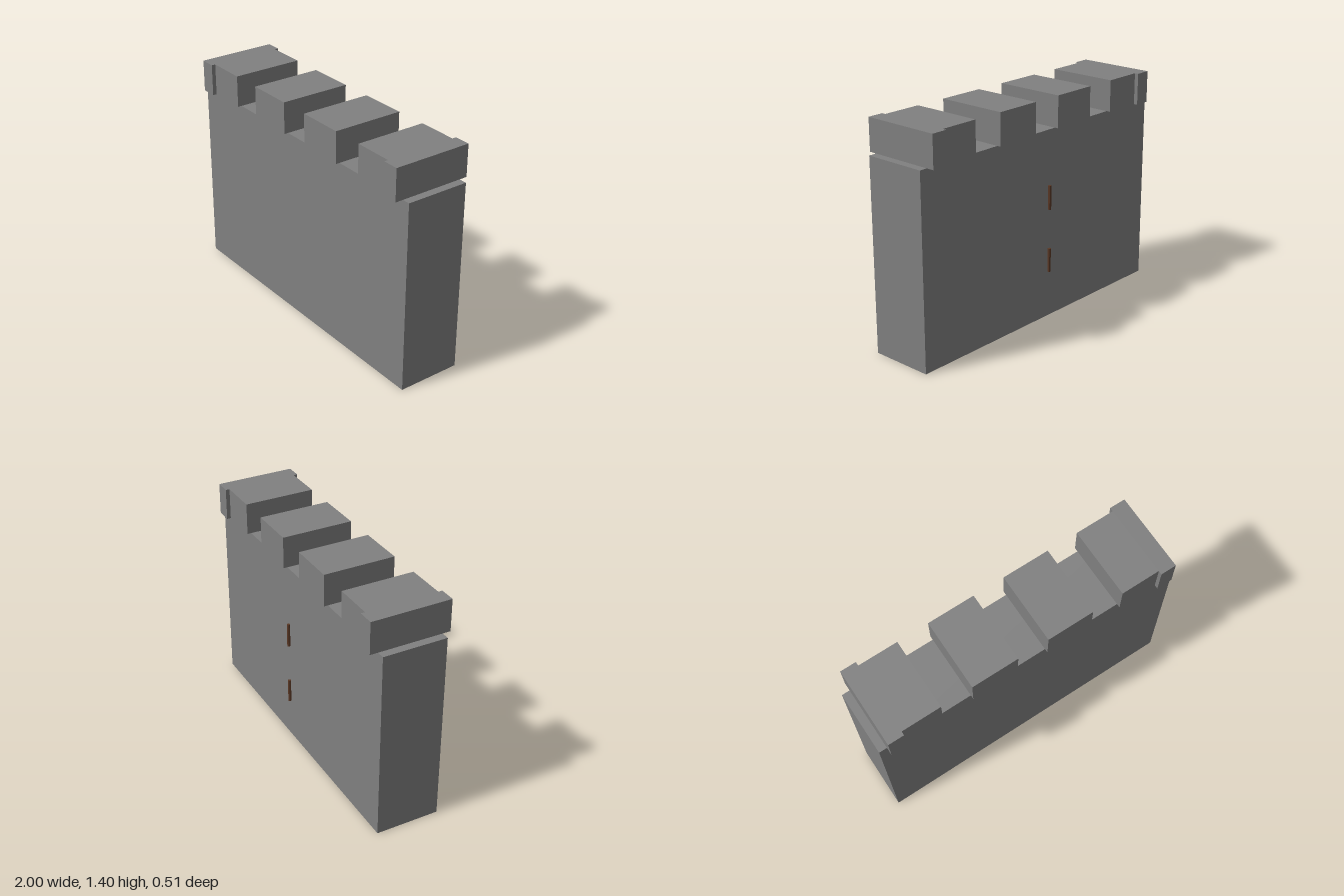
import * as THREE from 'three';

export function createModel() {
  const model = new THREE.Group();
  model.name = 'battlementWall';

  const stone = new THREE.MeshStandardMaterial({ name: 'stoneGrey', color: 0x808080 });
  const wood = new THREE.MeshStandardMaterial({ name: 'darkBrown', color: 0x5a3825 });

  const Z = 0.005; // wall centre line

  function block(name, w, h, d, x, y) {
    const mesh = new THREE.Mesh(new THREE.BoxGeometry(w, h, d), stone);
    mesh.name = name;
    mesh.position.set(x, y + h / 2, Z);
    model.add(mesh);
  }

  // Main wall slab
  block('wall', 2, 1.2, 0.4, 0, 0);

  // Battlements, mirrored left and right
  for (const [side, s] of [['left', 1], ['right', -1]]) {
    block(side + 'InnerMerlon', 0.3, 0.2, 0.45, s * 0.25, 1.2);
    block(side + 'OuterMerlon', 0.25, 0.2, 0.45, s * 0.725, 1.2);
    block(side + 'CornerBlock', 0.1, 0.2, 0.5, s * 0.9, 1.2);
  }

  // Two upright pegs standing just off the back face
  const pegGeometry = new THREE.CylinderGeometry(0.01, 0.01, 0.15, 8).toNonIndexed();
  pegGeometry.computeVertexNormals();
  for (const [name, y] of [['lowerPeg', 0.4], ['upperPeg', 0.8]]) {
    const peg = new THREE.Mesh(pegGeometry, wood);
    peg.name = name;
    peg.position.set(0, y, -0.245);
    model.add(peg);
  }

  return model;
}
